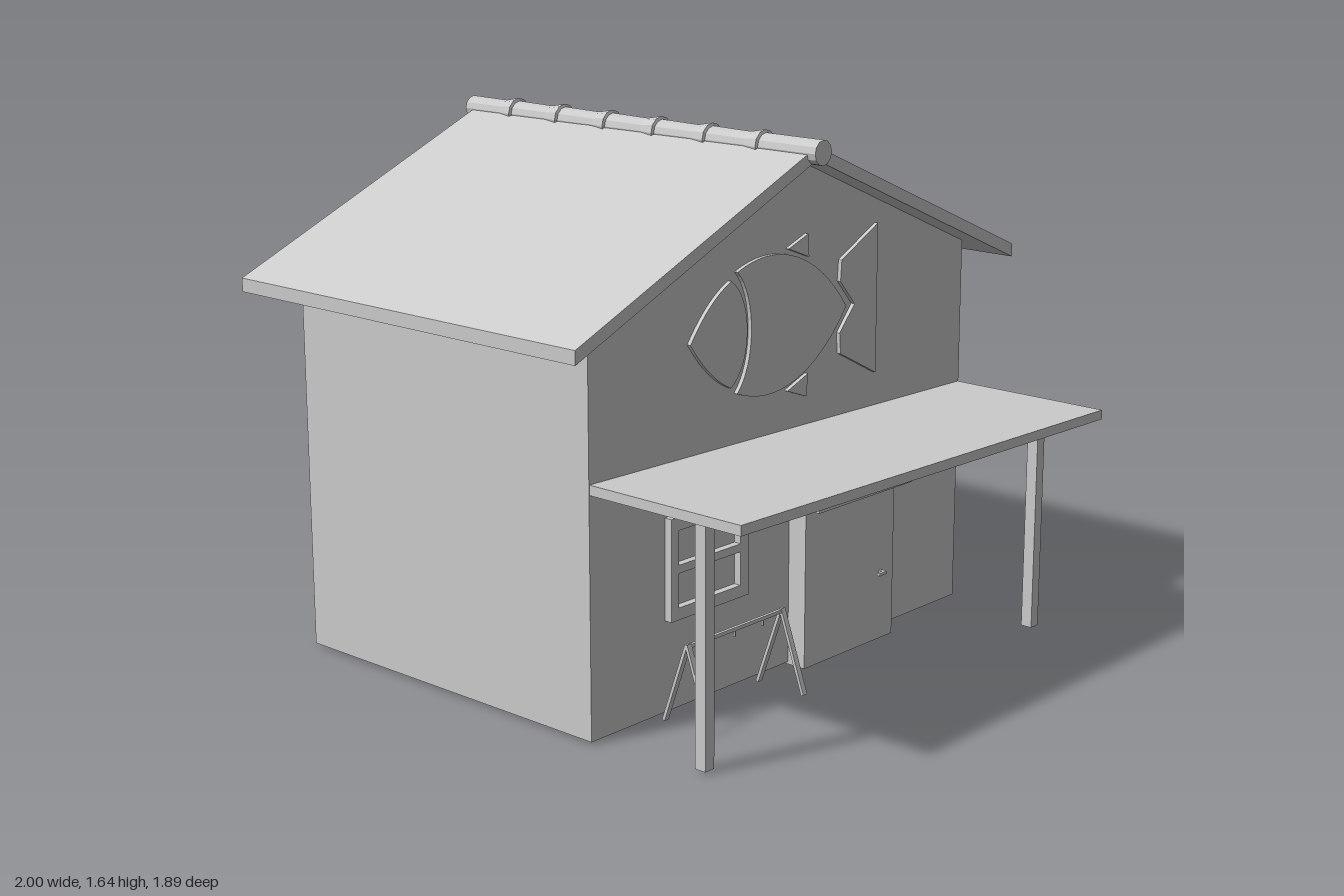
import * as THREE from 'three';

const solid = new THREE.MeshStandardMaterial({ color: 0xcccccc, flatShading: true });
const thin = new THREE.MeshStandardMaterial({ color: 0xcccccc, flatShading: true, side: THREE.DoubleSide });
const smooth = new THREE.MeshStandardMaterial({ color: 0xcccccc, side: THREE.DoubleSide });

const FRONT = 0.395, BACK = -0.81, HALF = 0.857, BASE = 0.01;
const EAVE = 1.205, PEAK = 1.573;

function add(parent, name, geometry, material = solid) {
  const mesh = new THREE.Mesh(geometry, material);
  mesh.name = name;
  parent.add(mesh);
  return mesh;
}

// Box given by its minimum and maximum corners
function box(parent, name, [x0, y0, z0], [x1, y1, z1]) {
  const mesh = add(parent, name, new THREE.BoxGeometry(x1 - x0, y1 - y0, z1 - z0));
  mesh.position.set((x0 + x1) / 2, (y0 + y1) / 2, (z0 + z1) / 2);
  return mesh;
}

const polygon = (points) => new THREE.Shape(points.map(([x, y]) => new THREE.Vector2(x, y)));
const rect = (x0, y0, x1, y1) => polygon([[x0, y0], [x1, y0], [x1, y1], [x0, y1]]);

// Extrusion from z0 to z1
function slab(shape, z0, z1) {
  return new THREE.ExtrudeGeometry(shape, { depth: z1 - z0, bevelEnabled: false, curveSegments: 16 }).translate(0, 0, z0);
}

// Extrusion without its rear cap, for hollow reliefs
function shell(shape, z0, z1) {
  const source = slab(shape, z0, z1);
  const p = source.attributes.position, kept = [];
  for (let i = 0; i < p.count; i += 3) {
    const isRear = [0, 1, 2].every((k) => p.getZ(i + k) < z0 + 1e-5);
    if (!isRear) for (let k = 0; k < 3; k++) kept.push(p.getX(i + k), p.getY(i + k), p.getZ(i + k));
  }
  const geometry = new THREE.BufferGeometry();
  geometry.setAttribute('position', new THREE.Float32BufferAttribute(kept, 3));
  geometry.computeVertexNormals();
  return geometry;
}

function buildWalls(house) {
  // Front gable is notched for the door and cut out behind the window frame
  const front = polygon([
    [-HALF, BASE], [0.005, BASE], [0.005, 0.53], [0.44, 0.53], [0.44, BASE],
    [HALF, BASE], [HALF, EAVE], [0, PEAK], [-HALF, EAVE],
  ]);
  front.holes.push(rect(-0.55, 0.29, -0.21, 0.6));
  add(house, 'frontWall', new THREE.ShapeGeometry(front).translate(0, 0, FRONT), thin);

  const back = polygon([[-HALF, BASE], [HALF, BASE], [HALF, EAVE], [0, PEAK], [-HALF, EAVE]]);
  add(house, 'backWall', new THREE.ShapeGeometry(back).rotateY(Math.PI).translate(0, 0, BACK), thin);

  for (const side of [-1, 1]) {
    const wall = add(house, side > 0 ? 'leftWall' : 'rightWall',
      new THREE.PlaneGeometry(FRONT - BACK, EAVE - BASE), thin);
    wall.rotation.y = side * Math.PI / 2;
    wall.position.set(side * HALF, (EAVE + BASE) / 2, (FRONT + BACK) / 2);
  }
}

function buildRoof(house) {
  const section = polygon([[-1, 1.143], [0, 1.573], [1, 1.143], [1, 1.185], [0, 1.613], [-1, 1.185]]);
  add(house, 'roof', slab(section, -0.915, 0.49));

  // Ridge pole: plain sections, each flaring out to a collar
  const profile = [[0, -0.945], [0.037, -0.945]];
  for (let i = 5; i >= 0; i--) {
    const z = 0.3 - i * 0.207;
    profile.push([0.036, z - 0.055], [0.047, z], [0.038, z + 0.003]);
  }
  profile.push([0.038, 0.52], [0, 0.52]);
  const lathe = new THREE.LatheGeometry(profile.map(([r, z]) => new THREE.Vector2(r, z)), 12);
  const pole = add(house, 'ridgePole', lathe, thin);
  pole.rotation.x = Math.PI / 2;
  pole.position.set(-0.008, 1.598, 0);
}

function buildCanopy(house) {
  const canopy = new THREE.Group();
  canopy.name = 'canopy';
  house.add(canopy);
  // Slightly lower on its left side
  const section = polygon([[-0.855, 0.735], [0.855, 0.71], [0.855, 0.74], [-0.855, 0.765]]);
  add(canopy, 'canopyRoof', slab(section, FRONT, 0.945));
  box(canopy, 'rightPost', [-0.802, BASE, 0.737], [-0.765, 0.735, 0.775]);
  box(canopy, 'leftPost', [0.76, BASE, 0.737], [0.797, 0.713, 0.775]);
}

function buildDoor(house) {
  add(house, 'door', shell(rect(0.005, 0.003, 0.44, 0.53), 0.385, 0.46), thin);
  box(house, 'doorHood', [-0.005, 0.513, FRONT], [0.45, 0.562, 0.52]);
  box(house, 'doorHandle', [0.342, 0.221, 0.475], [0.377, 0.231, 0.485]);
  box(house, 'handleStem', [0.367, 0.221, 0.458], [0.377, 0.231, 0.476]);
}

function buildWindow(house) {
  const frame = rect(-0.55, 0.29, -0.21, 0.6);
  for (const x of [-0.518, -0.363]) {
    for (const y of [0.327, 0.456]) {
      frame.holes.push(rect(x, y, x + 0.115, y + 0.104));
      const pane = add(house, 'windowPane', new THREE.PlaneGeometry(0.115, 0.104), thin);
      pane.position.set(x + 0.0575, y + 0.052, FRONT + 0.001);
    }
  }
  add(house, 'windowFrame', shell(frame, FRONT, 0.42), thin);
}

function buildFishRelief(house) {
  const fish = new THREE.Group();
  fish.name = 'fishRelief';
  fish.position.y = 1.09;
  house.add(fish);

  const head = new THREE.Shape();
  head.moveTo(-0.455, 0);
  head.quadraticCurveTo(-0.375, -0.115, -0.28, -0.158);
  head.bezierCurveTo(-0.185, -0.1, -0.185, 0.1, -0.28, 0.158);
  head.quadraticCurveTo(-0.375, 0.115, -0.455, 0);

  const body = new THREE.Shape();
  body.moveTo(-0.253, -0.18);
  body.bezierCurveTo(-0.08, -0.25, 0.11, -0.19, 0.25, 0);
  body.bezierCurveTo(0.11, 0.19, -0.08, 0.25, -0.253, 0.18);
  body.bezierCurveTo(-0.17, 0.1, -0.17, -0.1, -0.253, -0.18);

  const tail = polygon([
    [0.4, 0.235], [0.225, 0.145], [0.22, 0.08], [0.29, 0], [0.22, -0.08], [0.225, -0.145], [0.4, -0.235],
  ]);
  const fin = (s) => polygon([[-0.025, 0.215 * s], [0.065, 0.248 * s], [0.07, 0.178 * s]]);

  const parts = { head, body, tail, topFin: fin(1), bottomFin: fin(-1) };
  for (const [name, shape] of Object.entries(parts)) add(fish, name, slab(shape, FRONT - 0.003, 0.408));
}

function buildRack(house) {
  const rack = new THREE.Group();
  rack.name = 'hangingRack';
  house.add(rack);
  const top = 0.26, spread = 0.088;
  // A pair of splayed legs at each end
  for (const x of [-0.59, -0.175]) {
    for (const side of [-1, 1]) {
      const leg = add(rack, 'rackLeg', new THREE.BoxGeometry(0.018, Math.hypot(top - BASE, spread), 0.01));
      leg.position.set(x, (top + BASE) / 2, 0.52 + side * spread / 2);
      leg.rotation.x = -side * Math.atan2(spread, top - BASE);
    }
  }
  box(rack, 'rackBar', [-0.59, 0.248, 0.515], [-0.175, 0.259, 0.525]);
  for (const x of [-0.503, -0.388, -0.263]) {
    box(rack, 'rackHook', [x - 0.003, 0.23, 0.517], [x + 0.003, 0.249, 0.523]);
  }
}

export function createModel() {
  const house = new THREE.Group();
  house.name = 'fishShop';
  for (const build of [buildWalls, buildRoof, buildCanopy, buildDoor, buildWindow, buildFishRelief, buildRack]) {
    build(house);
  }
  return house;
}
